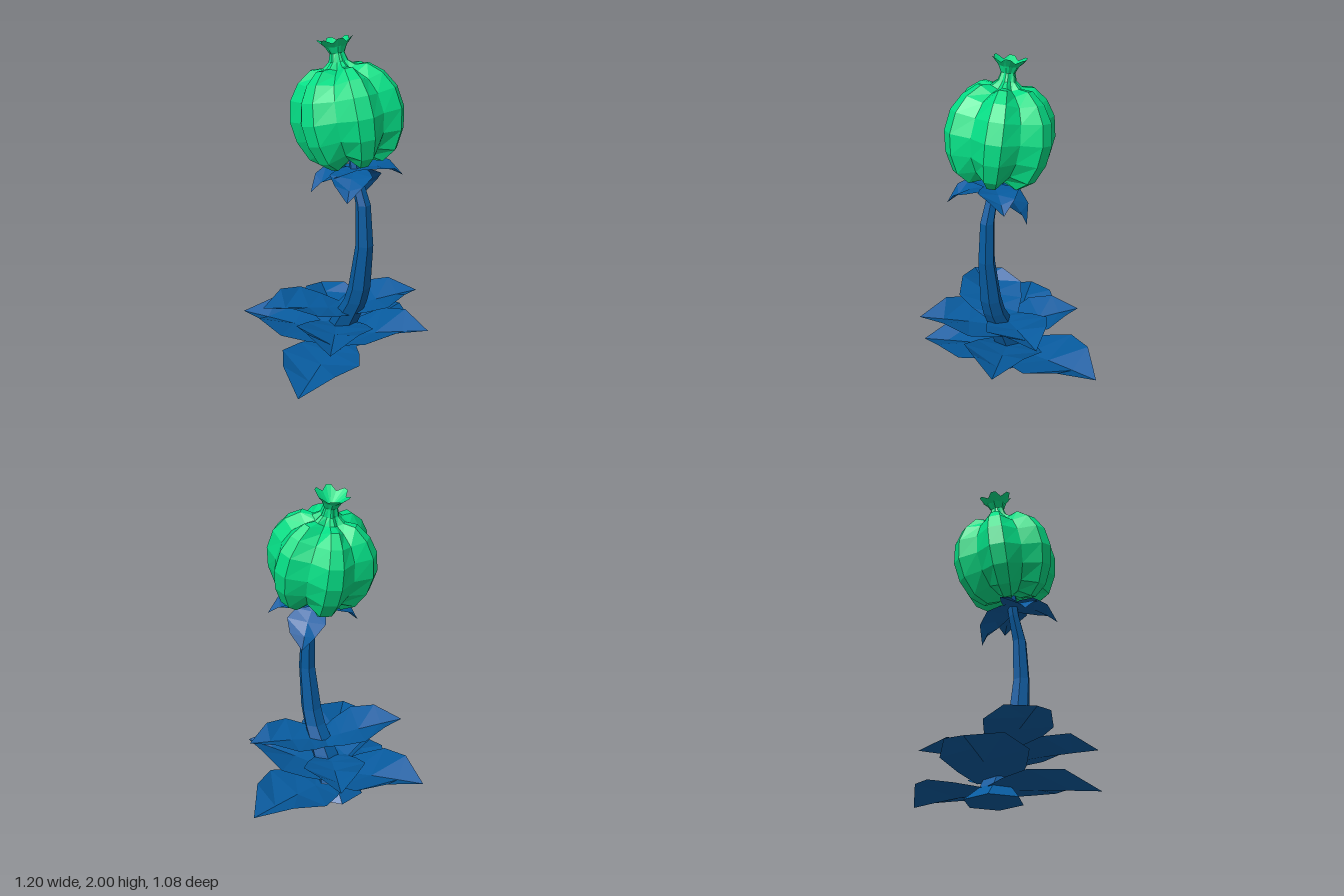
import * as THREE from 'three';

const V = (x, y, z) => new THREE.Vector3(x, y, z);

// Faceted mesh from a grid of points; closed grids wrap around
function loft(name, rows, material, closed) {
  const pos = [];
  const n = rows[0].length;
  const tri = (...pts) => pts.forEach(p => pos.push(p.x, p.y, p.z));
  for (let i = 0; i < rows.length - 1; i++) {
    for (let j = 0; j < (closed ? n : n - 1); j++) {
      const k = (j + 1) % n;
      tri(rows[i][j], rows[i + 1][j], rows[i][k]);
      tri(rows[i + 1][j], rows[i + 1][k], rows[i][k]);
    }
  }
  const geo = new THREE.BufferGeometry();
  geo.setAttribute('position', new THREE.Float32BufferAttribute(pos, 3));
  geo.computeVertexNormals();
  const mesh = new THREE.Mesh(geo, material);
  mesh.name = name;
  return mesh;
}

// V-folded leaf from base to tip: [distance, half width, edge lift, rib arch]
const LEAF = [
  [0, 0.2, 0, 0],
  [0.2, 0.32, 0.04, 0.5],
  [0.44, 0.41, 0.08, 1],
  [0.73, 0.27, 0.12, 0.7],
  [1, 0, 0, 0],
];
function leaf(name, base, tip, arch, material) {
  const dir = tip.clone().sub(base);
  const len = dir.length();
  const side = V(0, 1, 0).cross(dir).normalize();
  const up = dir.clone().cross(side).normalize();
  const rows = LEAF.map(([t, w, lift, bow]) => [1, 0, -1].map(s =>
    base.clone().addScaledVector(dir, t)
      .addScaledVector(side, s * w * len)
      .addScaledVector(up, (Math.abs(s) * lift + bow * arch) * len)));
  return loft(name, rows, material, false);
}

export function createModel() {
  const model = new THREE.Group();
  model.name = 'podPlant';
  const green = new THREE.MeshStandardMaterial({ color: 0x04de85 });
  green.name = 'podGreen';
  const blue = new THREE.MeshStandardMaterial({ color: 0x075b9f, side: THREE.DoubleSide });
  blue.name = 'leafBlue';

  // Curved six-sided stem with a closed foot: [y, z, radius]
  const stem = [
    [0, -0.015, 0], [0, -0.015, 0.175], [0.08, 0.01, 0.1], [0.25, 0.09, 0.085],
    [0.42, 0.18, 0.07], [0.52, 0.21, 0.066], [0.8, 0.245, 0.052], [1.05, 0.232, 0.044],
    [1.2, 0.18, 0.035], [1.36, 0.15, 0.03],
  ].map(([y, z, r]) => Array.from({ length: 6 }, (_, j) => {
    const a = j * Math.PI / 3;
    return V(-0.048 + r * Math.cos(a), y, z + r * Math.sin(a));
  }));
  model.add(loft('stem', stem, blue, true));

  // Four tiers of paired ground leaves: base, then two tips
  const tiers = [
    [[-0.03, 0.07, 0.02], [0.6, 0.09, 0.02], [-0.6, 0.01, 0.22]],
    [[-0.05, 0.12, 0.02], [0.21, 0.23, 0.535], [-0.29, 0.19, -0.54]],
    [[-0.05, 0.23, 0.04], [-0.49, 0.3, 0.37], [0.22, 0.27, -0.34]],
    [[-0.05, 0.335, 0.09], [0.37, 0.375, 0.32], [-0.48, 0.41, -0.17]],
  ];
  const foliage = new THREE.Group();
  foliage.name = 'groundLeaves';
  for (const [base, ...tips] of tiers) {
    for (const tip of tips) foliage.add(leaf('groundLeaf', V(...base), V(...tip), 0.01, blue));
  }
  model.add(foliage);

  // Drooping sepals under the pod
  const sepals = new THREE.Group();
  sepals.name = 'sepals';
  for (const tip of [[-0.28, 1.14, 0.31], [0.13, 1.03, 0.09], [0.165, 1.2, 0.35], [-0.26, 1.13, 0.02]]) {
    sepals.add(leaf('sepal', V(-0.048, 1.26, 0.17), V(...tip), 0.1, blue));
  }
  model.add(sepals);

  // Six-lobed pod with flared crown: [lobe radius, lobe height, groove radius, groove height]
  const podRows = [
    [0, -0.22, 0, -0.22],
    [0.08, -0.27, 0.05, -0.235],
    [0.17, -0.285, 0.12, -0.24],
    [0.25, -0.23, 0.19, -0.2],
    [0.305, -0.12, 0.248, -0.11],
    [0.325, 0, 0.272, 0],
    [0.303, 0.12, 0.25, 0.11],
    [0.245, 0.21, 0.2, 0.19],
    [0.165, 0.27, 0.13, 0.235],
    [0.095, 0.27, 0.075, 0.255],
    [0.055, 0.3, 0.045, 0.295],
    [0.042, 0.345, 0.036, 0.345],
    [0.062, 0.385, 0.052, 0.38],
    [0.103, 0.428, 0.08, 0.405],
    [0, 0.34, 0, 0.34],
  ].map(([rl, hl, rg, hg]) => {
    const ring = [];
    for (let k = 0; k < 6; k++) {
      for (const [deg, r, h] of [[-8, rl, hl], [8, rl, hl], [30, rg, hg]]) {
        const a = (k * 60 + deg) * Math.PI / 180;
        ring.push(V(r * Math.cos(a), h, r * Math.sin(a)));
      }
    }
    return ring;
  });
  const pod = loft('pod', podRows, green, true);
  pod.position.set(-0.045, 1.56, 0.103);
  pod.rotation.x = -0.21;
  model.add(pod);

  return model;
}
